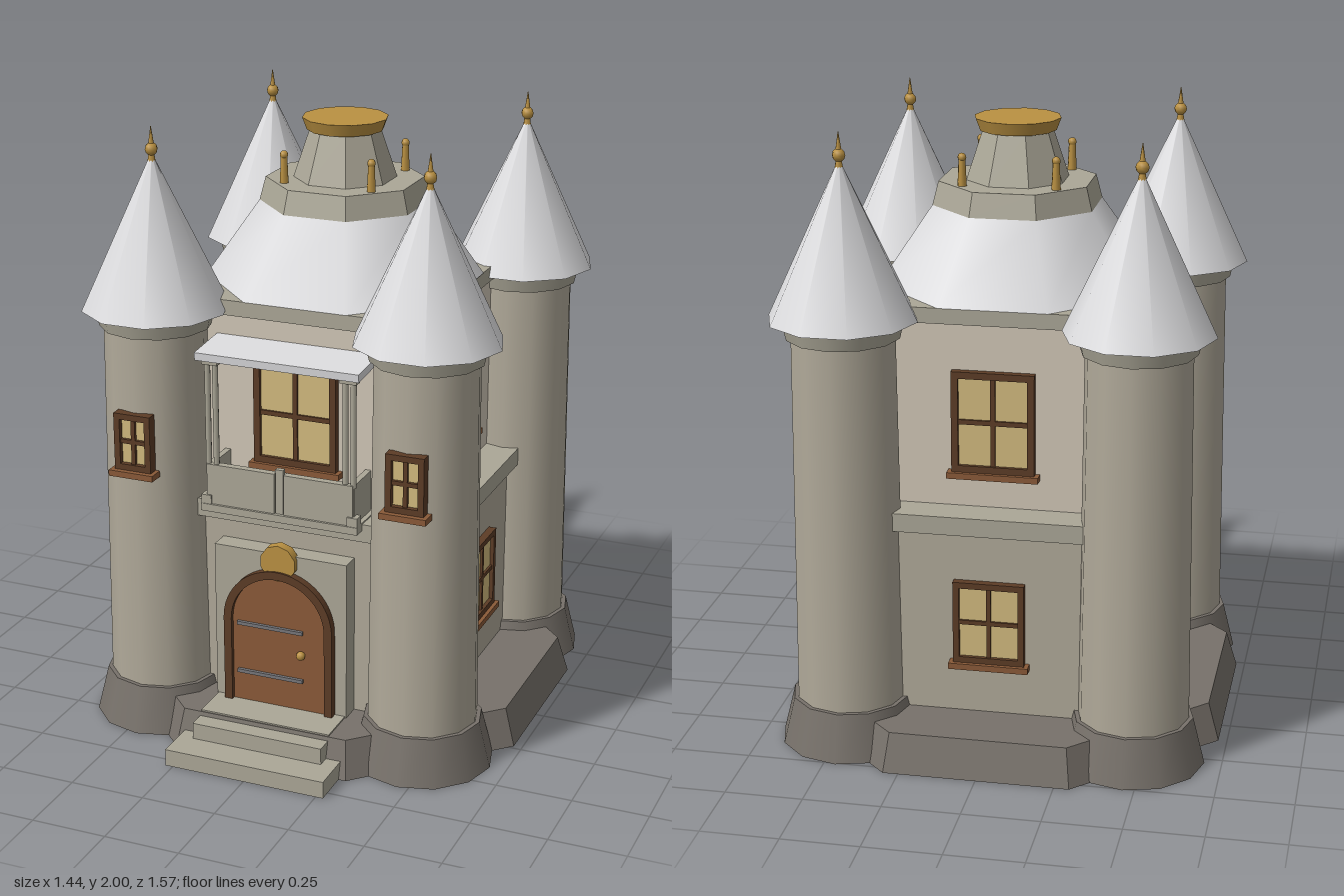
import * as THREE from 'three';

const mat = (name, color) => {
  const m = new THREE.MeshStandardMaterial({ color });
  m.name = name;
  return m;
};

export function createModel() {
  const stone = mat('tower stone', 0xb0a999);
  const trim = mat('trim stone', 0xaba797);
  const plinthStone = mat('plinth stone', 0x77716a);
  const plaster = mat('cream plaster', 0xd0c6b6);
  const slate = mat('pale roof', 0xdcdcde);
  const wood = mat('door wood', 0x8a5a38);
  const darkWood = mat('dark wood', 0x5c3c26);
  const glass = mat('lit glass', 0xd2ba7e);
  const gold = mat('gold', 0xba9142);
  const iron = mat('iron', 0x77777a);

  const root = new THREE.Group();
  root.name = 'castle';
  const ZC = -0.0625; // centre of the keep
  const D = 0.4625; // tower offset from that centre
  const keep = new THREE.Group();
  keep.name = 'keep';
  keep.position.z = ZC;
  root.add(keep);

  const add = (parent, name, geo, material, x = 0, y = 0, z = 0) => {
    const mesh = new THREE.Mesh(geo, material);
    mesh.name = name;
    mesh.position.set(x, y, z);
    parent.add(mesh);
    return mesh;
  };
  // box given by its bottom height, centred on x and z
  const box = (parent, name, m, w, h, d, x, y0, z) =>
    add(parent, name, new THREE.BoxGeometry(w, h, d), m, x, y0 + h / 2, z);
  const tube = (parent, name, m, r0, r1, y0, y1, n, x = 0, z = 0) =>
    add(parent, name, new THREE.CylinderGeometry(r1, r0, y1 - y0, n), m, x, (y0 + y1) / 2, z);
  // octagonal frustum measured across its flats
  const octagon = (name, m, a0, a1, y0, y1, flat = true) => {
    const k = 1 / Math.cos(Math.PI / 8);
    let g = new THREE.CylinderGeometry(a1 * k, a0 * k, y1 - y0, 8).rotateY(Math.PI / 8);
    if (flat) {
      g = g.toNonIndexed();
      g.computeVertexNormals();
    }
    return add(keep, name, g, m, 0, (y0 + y1) / 2, 0);
  };

  // keep, from the ground up
  octagon('plinth', plinthStone, 0.722, 0.686, 0, 0.125);
  box(keep, 'lowerWalls', stone, 0.96, 0.63, 0.96, 0, 0.12, 0);
  box(keep, 'ledge', trim, 1.03, 0.06, 1.03, 0, 0.74, 0);
  box(keep, 'upperWalls', plaster, 0.8, 0.61, 0.8, 0, 0.79, 0);
  box(keep, 'cornice', trim, 0.836, 0.05, 0.836, 0, 1.4, 0);
  octagon('mainRoof', slate, 0.42, 0.257, 1.45, 1.7, false);
  octagon('roofPlatform', trim, 0.257, 0.238, 1.7, 1.777);
  octagon('lantern', trim, 0.155, 0.105, 1.777, 1.937);
  tube(keep, 'lanternCap', gold, 0.125, 0.14, 1.935, 1.975, 12);
  for (const x of [-0.15, 0.15]) for (const z of [-0.15, 0.15]) {
    tube(keep, 'platformPost', gold, 0.015, 0.011, 1.775, 1.865, 8, x, z);
    add(keep, 'postKnob', new THREE.SphereGeometry(0.014, 8, 6), gold, x, 1.868, z);
  }

  // window facing +z with its back on z = 0: frame, glass, bars, sill
  const makeWindow = (w, h, t, depth) => {
    const g = new THREE.Group();
    g.name = 'window';
    for (const s of [-1, 1]) {
      box(g, 'frameSide', darkWood, t, h, depth, s * (w - t) / 2, 0, depth / 2);
      box(g, 'frameRail', darkWood, w, t, depth, 0, s < 0 ? 0 : h - t, depth / 2);
    }
    box(g, 'pane', glass, w - t, h - t, depth * 0.5, 0, t / 2, depth * 0.25);
    box(g, 'uprightBar', darkWood, t * 0.7, h - t, depth * 0.8, 0, t / 2, depth * 0.4);
    box(g, 'crossBar', darkWood, w - t, t * 0.7, depth * 0.8, 0, h / 2 - t * 0.35, depth * 0.4);
    box(g, 'sill', wood, w + 0.028, 0.02, depth * 1.5, 0, -0.02, depth * 0.75);
    return g;
  };
  for (let i = 0; i < 4; i++) {
    const side = new THREE.Group();
    side.name = ['front', 'left', 'back', 'right'][i] + 'Windows';
    side.rotation.y = i * Math.PI / 2;
    keep.add(side);
    const upper = i ? makeWindow(0.265, 0.33, 0.022, 0.025) : makeWindow(0.285, 0.34, 0.022, 0.025);
    upper.position.set(0, 0.92, 0.4);
    side.add(upper);
    if (i === 0) continue;
    const lower = makeWindow(0.23, 0.275, 0.02, 0.026);
    lower.position.set(0, 0.303, 0.48);
    side.add(lower);
  }

  // four corner towers
  for (const sx of [-1, 1]) for (const sz of [-1, 1]) {
    const t = new THREE.Group();
    t.name = (sz > 0 ? 'front' : 'back') + (sx > 0 ? 'Left' : 'Right') + 'Tower';
    t.position.set(sx * D, 0, ZC + sz * D);
    root.add(t);
    tube(t, 'towerBase', plinthStone, 0.232, 0.193, 0, 0.155, 12);
    tube(t, 'towerShaft', stone, 0.179, 0.167, 0.15, 1.365, 12);
    tube(t, 'towerCollar', trim, 0.181, 0.195, 1.36, 1.42, 12);
    tube(t, 'towerRoof', slate, 0.238, 0.004, 1.415, 1.91, 10).rotation.y = Math.PI / 2;
    tube(t, 'finialStem', gold, 0.014, 0.008, 1.885, 1.92, 8);
    add(t, 'finialBall', new THREE.SphereGeometry(0.021, 8, 6), gold, 0, 1.928, 0);
    tube(t, 'finialSpike', gold, 0.01, 0.001, 1.94, 2, 8);
    if (sz > 0) {
      const w = makeWindow(0.127, 0.19, 0.02, 0.036);
      w.position.set(0, 0.92, 0.156);
      t.add(w);
    }
  }

  // arched door
  const arch = (Path, r, y0, spring) => {
    const p = new Path();
    p.moveTo(-r, y0);
    p.lineTo(r, y0);
    p.lineTo(r, spring);
    p.absarc(0, spring, r, 0, Math.PI, false);
    p.lineTo(-r, y0);
    return p;
  };
  const extrude = (shape, depth) =>
    new THREE.ExtrudeGeometry(shape, { depth, bevelEnabled: false, curveSegments: 16 });
  const door = new THREE.Group();
  door.name = 'door';
  root.add(door);
  box(door, 'doorSurround', trim, 0.46, 0.545, 0.075, 0, 0.12, 0.4475);
  const frame = arch(THREE.Shape, 0.19, 0.125, 0.422);
  frame.holes.push(arch(THREE.Path, 0.163, 0.126, 0.422));
  add(door, 'doorFrame', extrude(frame, 0.035), darkWood, 0, 0, 0.477);
  add(door, 'doorLeaf', extrude(arch(THREE.Shape, 0.165, 0.125, 0.422), 0.02), wood, 0, 0, 0.477);
  for (const y of [0.23, 0.402]) box(door, 'hinge', iron, 0.23, 0.012, 0.012, -0.03, y, 0.502);
  add(door, 'doorKnob', new THREE.SphereGeometry(0.015, 10, 8), gold, 0.08, 0.33, 0.507);
  const boss = new THREE.CylinderGeometry(0.062, 0.062, 0.035, 10).rotateX(Math.PI / 2);
  add(door, 'doorBoss', boss, gold, 0, 0.64, 0.487);

  // entrance steps
  box(root, 'lowerStep', trim, 0.55, 0.057, 0.22, 0, 0, 0.677);
  box(root, 'upperStep', trim, 0.45, 0.057, 0.16, 0, 0.055, 0.605);
  box(root, 'threshold', trim, 0.45, 0.03, 0.16, 0, 0.1, 0.54);

  // balcony with parapet, posts and canopy
  const balcony = new THREE.Group();
  balcony.name = 'balcony';
  root.add(balcony);
  box(balcony, 'balconyFloor', trim, 0.54, 0.025, 0.17, 0, 0.78, 0.412);
  box(balcony, 'parapetBack', trim, 0.5, 0.135, 0.015, 0, 0.8, 0.468);
  box(balcony, 'parapetBlock', trim, 0.026, 0.155, 0.018, 0, 0.8, 0.476);
  for (const s of [-1, 1]) {
    box(balcony, 'parapetPanel', trim, 0.235, 0.14, 0.025, s * 0.134, 0.8, 0.476);
    box(balcony, 'parapetSide', trim, 0.02, 0.14, 0.14, s * 0.245, 0.8, 0.41);
    box(balcony, 'cornerFoot', trim, 0.035, 0.035, 0.035, s * 0.252, 0.8, 0.477);
    for (const x of [0.249, 0.222])
      tube(balcony, 'canopyPost', trim, 0.01, 0.01, 0.93, 1.3, 8, s * x, 0.474);
    box(balcony, 'postCap', trim, 0.055, 0.02, 0.03, s * 0.236, 1.275, 0.474);
  }
  box(balcony, 'canopy', slate, 0.556, 0.026, 0.176, 0, 1.298, 0.418).rotation.x = 0.08;

  return root;
}
